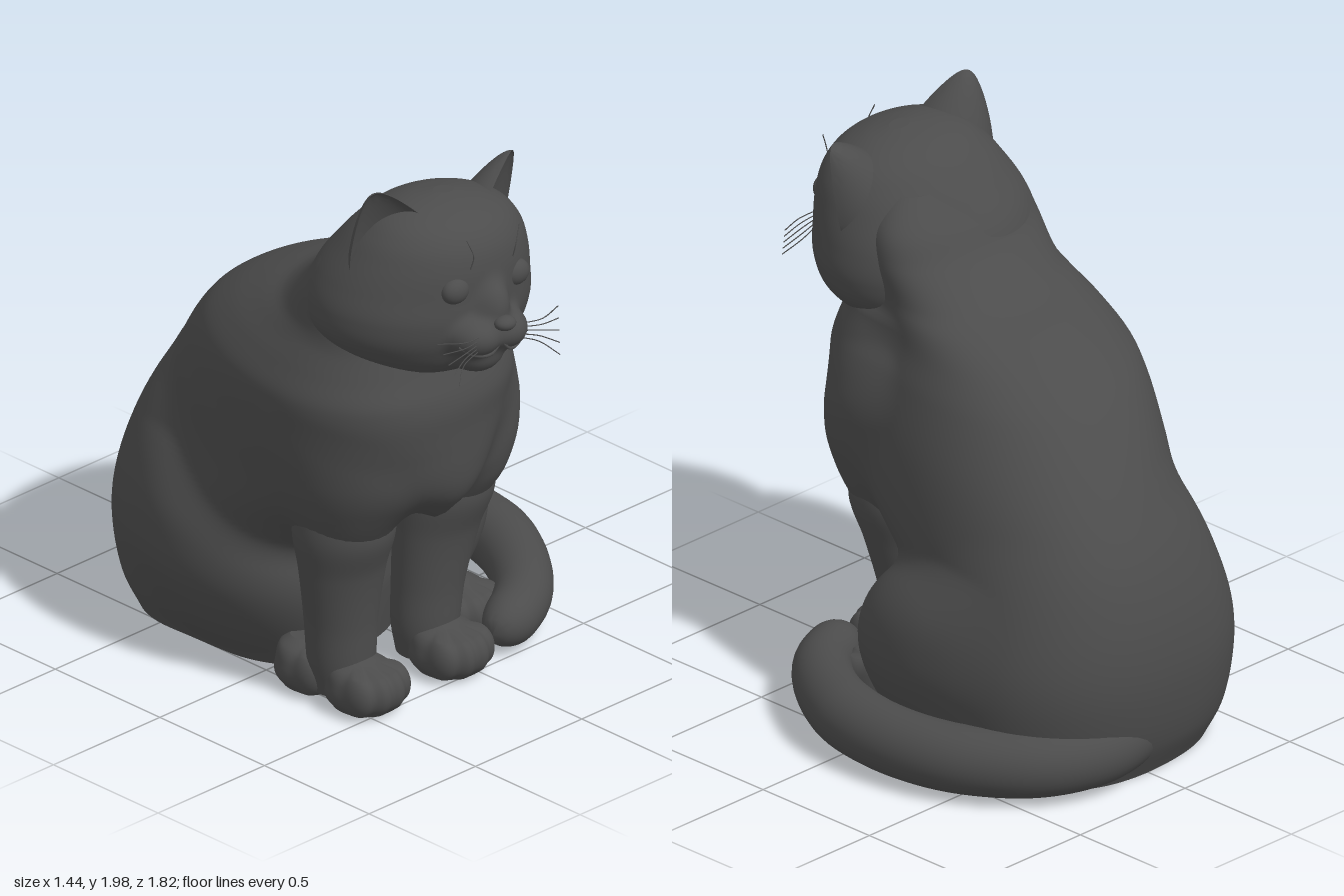
import * as THREE from 'three';
import { toCreasedNormals } from 'three/addons/utils/BufferGeometryUtils.js';

const fur = new THREE.MeshStandardMaterial({ color: 0x4c4c4c });
fur.name = 'charcoal';

function add(parent, name, geometry) {
  const mesh = new THREE.Mesh(geometry, fur);
  mesh.name = name;
  parent.add(mesh);
  return mesh;
}

// Smooth [x, z, rx, rz] at height y from sections [y, x, z, rx, rz]
function sectionAt(s, y) {
  let i = 0;
  while (i < s.length - 2 && y > s[i + 1][0]) i++;
  const slope = (j, c) => {
    const a = s[Math.max(j - 1, 0)], b = s[Math.min(j + 1, s.length - 1)];
    return (b[c] - a[c]) / (b[0] - a[0]);
  };
  const h = s[i + 1][0] - s[i][0], t = (y - s[i][0]) / h, u = 1 - t;
  return [1, 2, 3, 4].map(c => {
    const v = s[i][c] * (1 + 2 * t) * u * u + slope(i, c) * h * t * u * u
      + s[i + 1][c] * t * t * (3 - 2 * t) - slope(i + 1, c) * h * t * t * u;
    return c > 2 ? Math.max(v, 0.004) : v;
  });
}

// Body forms: each gives, at a height, the distance of a point from its outline
const tapered = (sections, shear = 0, n = 2) => y => {
  const level = THREE.MathUtils.clamp(y, sections[0][0], sections[sections.length - 1][0]);
  const [x, z, rx, rz] = sectionAt(sections, level);
  const size = Math.min(rx, rz), gap = Math.abs(y - level);
  return {
    x: x + shear * z, z,
    d: (px, pz) => ((Math.abs((px - x - shear * pz) / rx) ** n
      + Math.abs((pz - z) / rz) ** n) ** (1 / n) - 1) * size + gap,
  };
};
const blob = ([x, cy, z], [rx, ry, rz]) => y => ({
  d: (px, pz) => (Math.hypot((px - x) / rx, (y - cy) / ry, (pz - z) / rz) - 1) * Math.min(rx, ry, rz),
});

// Closed skin of horizontal cross-sections around forms that melt together
function skin(forms, y0, y1, { rows = 40, cols = 56, blend = 0.05 } = {}) {
  const pos = [], index = [], caps = [];
  for (let i = 0; i <= rows; i++) {
    const y = y0 + (y1 - y0) * i / rows;
    const cuts = forms.map(f => f(y)), { x, z } = cuts[0];
    const inside = (px, pz) => cuts.map(c => c.d(px, pz)).reduce((a, b) => {
      const h = Math.max(blend - Math.abs(a - b), 0) / blend;
      return Math.min(a, b) - h * h * blend / 4;
    }) < 0;
    if (i % rows === 0) caps.push([x, y, z]);
    for (let j = 0; j < cols; j++) {
      const a = (j / cols) * Math.PI * 2, ca = Math.cos(a), sa = Math.sin(a);
      let far = 1.1;
      while (far > 0.012 && !inside(x + ca * far, z + sa * far)) far -= 0.012;
      let near = far;
      far += 0.012;
      for (let k = 0; k < 8; k++) {
        const m = (near + far) / 2;
        if (inside(x + ca * m, z + sa * m)) near = m; else far = m;
      }
      pos.push(x + ca * near, y, z + sa * near);
      if (i === rows) continue;
      const n = i * cols + (j + 1) % cols, p = i * cols + j;
      index.push(p, p + cols, n, n, p + cols, n + cols);
    }
  }
  // Flat caps with their own rim, so the edge stays crisp
  caps.forEach((centre, top) => {
    const rim = pos.length / 3, from = top * rows * cols * 3;
    pos.push(...pos.slice(from, from + cols * 3), ...centre);
    for (let j = 0; j < cols; j++) {
      const a = rim + j, b = rim + (j + 1) % cols;
      index.push(rim + cols, top ? b : a, top ? a : b);
    }
  });
  const g = new THREE.BufferGeometry();
  g.setAttribute('position', new THREE.Float32BufferAttribute(pos, 3));
  g.setIndex(index);
  g.computeVertexNormals();
  return g;
}

// Section given by its back z, front z, middle x and half width
const span = (y, back, front, x, half) => [y, x, (back + front) / 2, half, (front - back) / 2];

function ball(parent, name, [x, y, z], [rx, ry, rz]) {
  const mesh = add(parent, name, new THREE.SphereGeometry(1, 28, 16));
  mesh.position.set(x, y, z);
  mesh.scale.set(rx, ry, rz);
}

function strand(parent, name, points, radius) {
  const curve = new THREE.CatmullRomCurve3(points.map(p => new THREE.Vector3(...p)));
  add(parent, name, new THREE.TubeGeometry(curve, 14, radius, 6));
}

// Rounded foot with four soft toes
function paw(parent, name, x, z) {
  const toes = [-0.082, -0.031, 0.031, 0.082].map((tx, i) =>
    blob([x + tx, 0.085, z + (i % 3 ? 0.085 : 0.06)], [0.047, 0.076, 0.07]));
  const pad = tapered([[0.01, x, z, 0.1, 0.11], [0.05, x, z, 0.127, 0.135],
    [0.1, x, z, 0.125, 0.13], [0.15, x, z - 0.02, 0.1, 0.1], [0.175, x, z - 0.04, 0.05, 0.05]]);
  add(parent, name, skin([pad, ...toes], 0.01, 0.175, { rows: 24, cols: 72, blend: 0.012 }));
}

function buildHead() {
  const head = new THREE.Group();
  head.name = 'head';
  head.position.set(-0.22, 1.58, 0);
  head.rotation.z = -0.1;
  const skull = tapered([
    span(-0.32, 0.32, 0.58, 0, 0.15), span(-0.28, 0.2, 0.69, 0, 0.27),
    span(-0.18, 0.11, 0.765, 0, 0.38), span(-0.08, 0.1, 0.795, 0, 0.405),
    span(0.02, 0.13, 0.795, 0, 0.385), span(0.12, 0.2, 0.79, 0, 0.345),
    span(0.2, 0.27, 0.765, 0, 0.3), span(0.26, 0.34, 0.71, 0, 0.235),
    span(0.3, 0.43, 0.62, 0, 0.13), span(0.312, 0.5, 0.56, 0, 0.04)]);
  const muzzle = s => blob([s * 0.062, -0.115, 0.775], [0.095, 0.075, 0.1]);
  add(head, 'skull', skin([skull, muzzle(-1), muzzle(1),
    blob([0, -0.03, 0.765], [0.075, 0.11, 0.09]), blob([0, -0.195, 0.745], [0.1, 0.075, 0.08])],
  -0.32, 0.312, { rows: 72, cols: 128, blend: 0.03 }));
  ball(head, 'nose', [0, -0.06, 0.862], [0.042, 0.026, 0.035]);

  for (const s of [-1, 1]) {
    strand(head, 'mouthLine', [[0, -0.13, 0.852], [s * 0.045, -0.167, 0.852],
      [s * 0.1, -0.165, 0.836], [s * 0.15, -0.135, 0.8]], 0.006);
    ball(head, 'eye', [s * 0.142, 0.055, 0.755], [0.056, 0.047, 0.04]);
    strand(head, 'browWhisker', [[s * 0.1, 0.13, 0.78], [s * 0.1, 0.18, 0.79], [s * 0.125, 0.24, 0.775]], 0.002);

    // Cheek whiskers
    for (let i = 0; i < 5; i++) {
      const y = -0.09 - i * 0.013;
      strand(head, 'whisker', [[s * 0.1, y, 0.85], [s * 0.18, y - i * 0.008, 0.86],
        [s * (0.285 - i * 0.012), y + 0.01 - i * 0.022, 0.83 + i * 0.018]], 0.002);
    }

    // Rounded triangular ear, hollow at the front
    const shape = new THREE.SphereGeometry(1, 40, 28);
    const p = shape.attributes.position;
    for (let i = 0; i < p.count; i++) {
      const x = p.getX(i), y = p.getY(i), z = p.getZ(i), slim = 1 - 0.45 * Math.max(y, 0);
      p.setXYZ(i, x * slim * 0.165, y * 0.25, (z > 0 ? -0.45 * z : z) * slim * 0.16 + 0.03 * y);
    }
    const ear = add(head, 'ear', toCreasedNormals(shape, 0.9));
    ear.position.set(s * 0.228, 0.14, 0.545);
    ear.rotation.set(0, s * 0.5, -s * 0.4);
  }
  return head;
}

export function createModel() {
  const cat = new THREE.Group();
  cat.name = 'sittingCat';

  // Torso leaning to one side at the chest, a full rump, and a ruff tapering to a point
  const torso = tapered([
    span(0, -0.8, 0.1, -0.15, 0.4), span(0.2, -0.87, 0.13, -0.15, 0.47),
    span(0.4, -0.9, 0.15, -0.15, 0.5), span(0.6, -0.88, 0.34, -0.15, 0.51),
    span(0.8, -0.815, 0.62, -0.15, 0.505), span(1.0, -0.69, 0.67, -0.175, 0.495),
    span(1.2, -0.515, 0.68, -0.205, 0.46), span(1.3, -0.37, 0.65, -0.2, 0.415),
    span(1.38, -0.2, 0.63, -0.18, 0.38), span(1.43, -0.07, 0.61, -0.17, 0.365),
    span(1.55, 0.09, 0.55, -0.155, 0.36), span(1.65, 0.165, 0.52, -0.145, 0.33),
    span(1.75, 0.26, 0.5, -0.145, 0.25)], -0.24, 2.15);
  const rump = tapered([span(0, -0.82, -0.1, -0.05, 0.46), span(0.12, -0.88, -0.06, -0.04, 0.52),
    span(0.3, -0.91, -0.04, -0.035, 0.555), span(0.45, -0.905, -0.04, -0.035, 0.55),
    span(0.62, -0.865, -0.06, -0.04, 0.5), span(0.8, -0.78, -0.12, -0.05, 0.42),
    span(0.95, -0.66, -0.2, -0.06, 0.3)], 0, 2.2);
  const ruff = tapered([[0.7, -0.24, 0.53, 0.03, 0.05], [0.8, -0.24, 0.52, 0.13, 0.14],
    [0.92, -0.24, 0.46, 0.26, 0.225], [1.06, -0.24, 0.39, 0.39, 0.3],
    [1.18, -0.238, 0.35, 0.435, 0.345], [1.36, -0.225, 0.33, 0.365, 0.3]]);
  const shoulder = (x, lean) => tapered([[0.54, x + lean * 0.6, 0.33, 0.11, 0.1], [0.64, x + lean * 0.4, 0.335, 0.155, 0.155],
    [0.75, x, 0.34, 0.187, 0.215], [0.9, x - lean, 0.33, 0.205, 0.25], [1.08, x - lean, 0.3, 0.21, 0.26],
    [1.22, x - lean * 0.5, 0.27, 0.16, 0.2], [1.3, x, 0.26, 0.08, 0.1]]);
  const haunch = (x, z, s) => tapered([[0, x - s * 0.07, z, 0.17, 0.29], [0.12, x - s * 0.03, z, 0.235, 0.36],
    [0.3, x, z, 0.285, 0.41], [0.45, x, z - 0.01, 0.292, 0.4], [0.58, x - s * 0.015, z - 0.05, 0.27, 0.35],
    [0.7, x - s * 0.05, z - 0.12, 0.21, 0.26], [0.78, x - s * 0.09, z - 0.17, 0.12, 0.15]]);
  add(cat, 'torso', skin([torso, rump, ruff, shoulder(-0.46, 0.015), shoulder(0.02, -0.025),
    haunch(0.27, -0.23, 1), haunch(-0.385, -0.24, -1)], 0, 1.75, { rows: 112, cols: 160, blend: 0.06 }));

  // Front legs
  for (const [side, x, lean] of [['right', -0.452, -0.004], ['left', -0.058, 0.036]]) {
    add(cat, side + 'FrontLeg', skin([tapered([[0.04, x, 0.31, 0.1, 0.1], [0.15, x, 0.31, 0.12, 0.113],
      [0.3, x + lean * 0.4, 0.31, 0.131, 0.12], [0.5, x + lean * 1.2, 0.32, 0.158, 0.14],
      [0.65, x + lean * 1.8, 0.33, 0.177, 0.175], [0.82, x + lean * 2, 0.33, 0.15, 0.15]])], 0.04, 0.82));
    paw(cat, side + 'FrontPaw', x, 0.415);
  }

  // Hind feet peeping out below the haunches
  paw(cat, 'leftHindPaw', 0.19, 0.21);
  paw(cat, 'rightHindPaw', -0.455, 0.18);

  // Tail curled along the ground, closing in a blunt tip
  const path = new THREE.CatmullRomCurve3([[-0.08, 0.145, -0.73], [0.2, 0.143, -0.79], [0.4, 0.135, -0.71],
    [0.55, 0.128, -0.5], [0.605, 0.125, -0.25], [0.58, 0.125, 0], [0.485, 0.12, 0.2],
    [0.35, 0.113, 0.36], [0.22, 0.105, 0.44], [0.09, 0.095, 0.48]].map(q => new THREE.Vector3(...q)));
  const rows = 90, cols = 32;
  const tail = new THREE.TubeGeometry(path, rows, 0.118, cols);
  const p = tail.attributes.position, v = new THREE.Vector3();
  for (let i = 0; i <= rows; i++) {
    const t = i / rows, c = path.getPointAt(t);
    const tip = Math.max(0, (t - 0.93) / 0.07), slim = Math.max(0, t - 0.65) * 0.7;
    const f = (1 - slim) * Math.sqrt(1 - tip * tip);
    for (let j = 0; j <= cols; j++) {
      const n = i * (cols + 1) + j;
      v.fromBufferAttribute(p, n).sub(c).multiplyScalar(f).add(c);
      p.setXYZ(n, v.x, v.y, v.z);
    }
  }
  add(cat, 'tail', toCreasedNormals(tail, 0.9));

  cat.add(buildHead());
  return cat;
}
